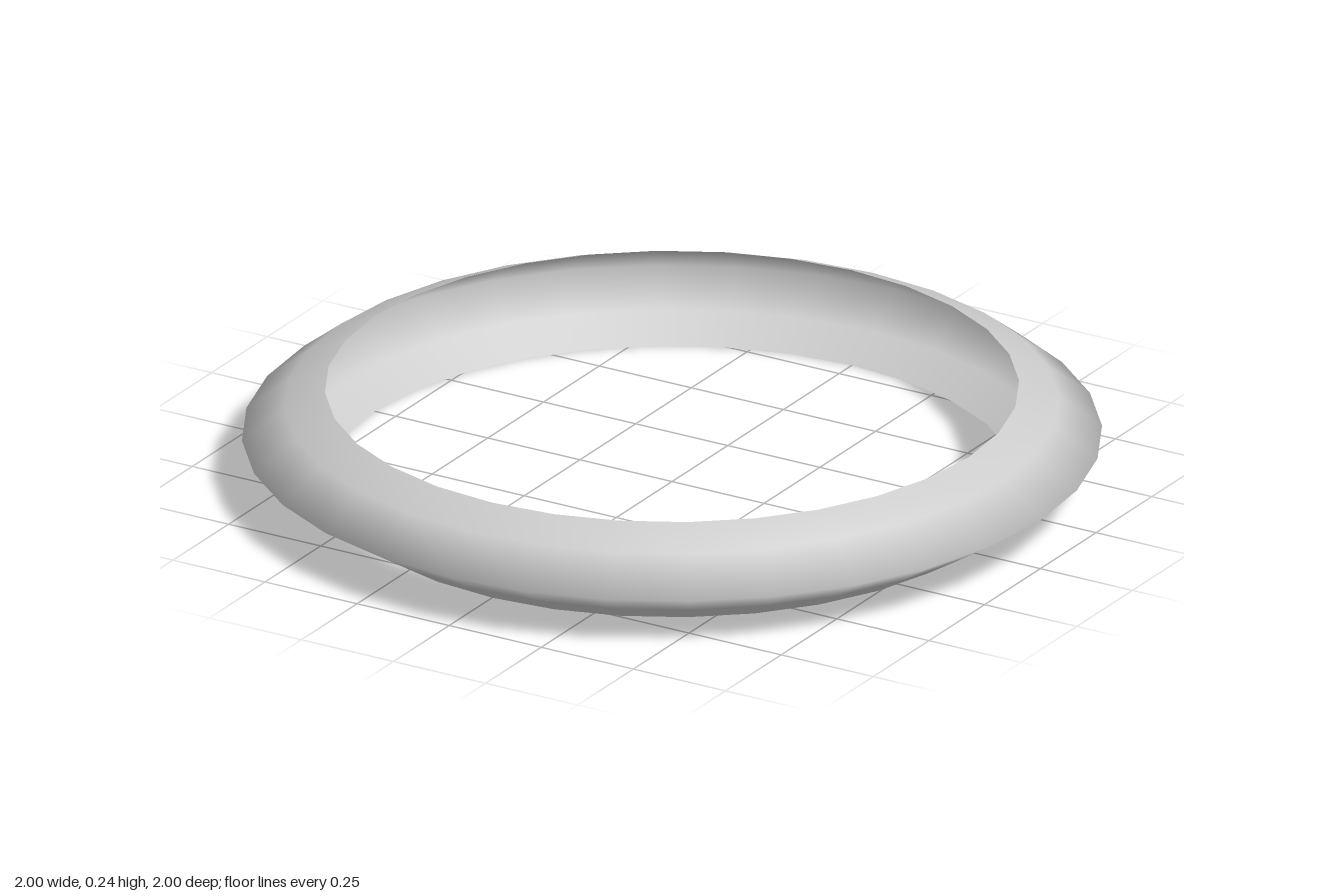
import * as THREE from 'three';

export function createModel() {
  const group = new THREE.Group();
  group.name = 'ring';

  // Open V-shaped band: bottom rim, outer ridge, rounded top rim
  const profile = [
    [0.807, 0], [0.895, 0.055], [1, 0.122], [0.9, 0.2], [0.807, 0.24],
  ].map(([r, y]) => new THREE.Vector2(r, y));

  const band = new THREE.Mesh(
    new THREE.LatheGeometry(profile, 32),
    new THREE.MeshStandardMaterial({ color: 0xcccccc, side: THREE.DoubleSide })
  );
  band.name = 'band';
  group.add(band);
  return group;
}
